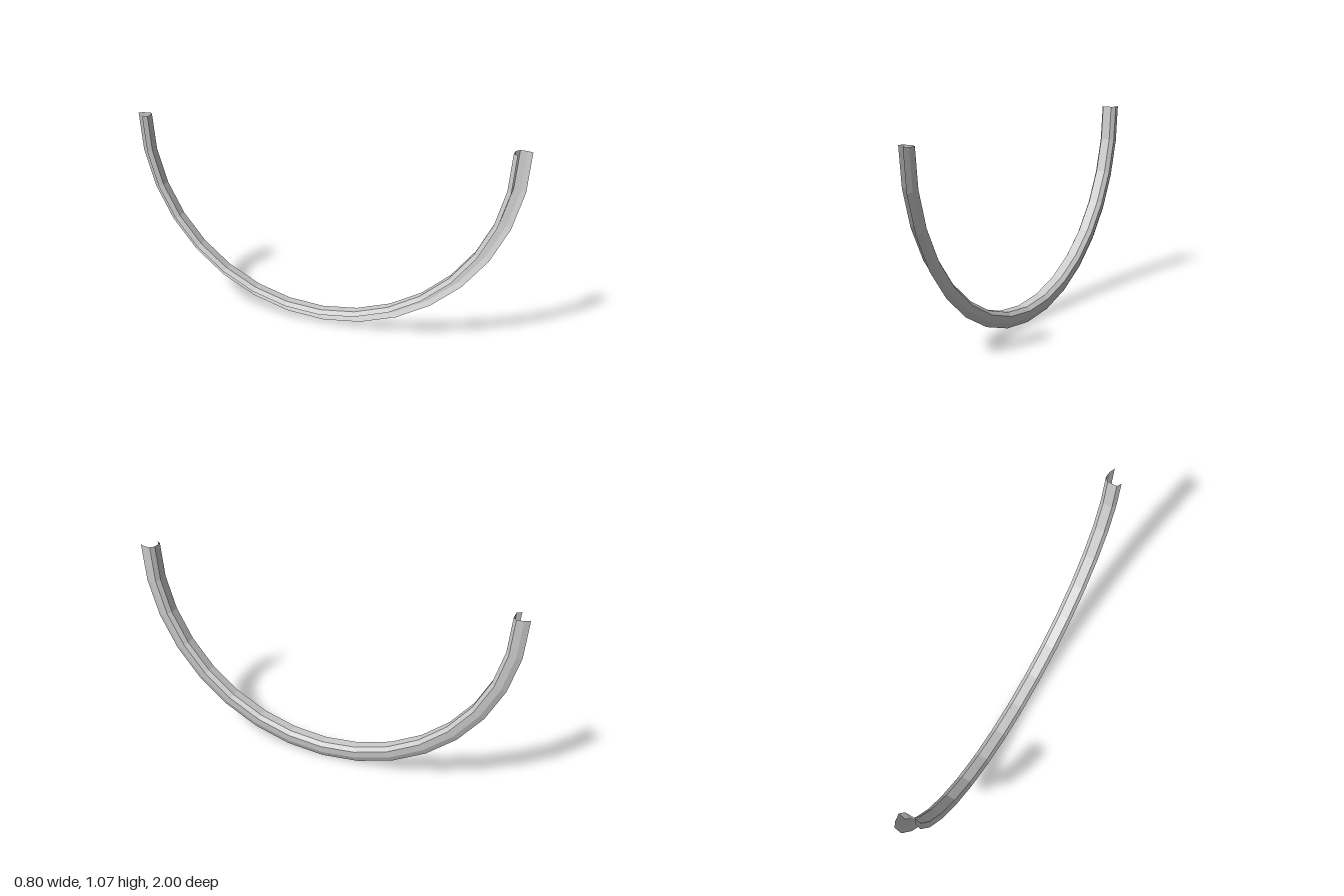
import * as THREE from 'three';

export function createModel() {
  const group = new THREE.Group();
  group.name = 'halfRingChannel';

  // Open channel section as (radius, sideways offset): tall wall, floor, short lip
  const section = [
    [1.068, 0.021], [1.04, 0.034], [1.003, 0.038],
    [0.984, 0.017], [0.984, -0.035], [1.007, -0.05],
  ].map(([r, w]) => new THREE.Vector2(r, w));

  // Half turn of the section, hanging down and turned about the vertical
  const geometry = new THREE.LatheGeometry(section, 16, -Math.PI / 2, Math.PI);
  geometry.rotateX(Math.PI / 2);
  geometry.rotateY(THREE.MathUtils.degToRad(110.55));
  geometry.translate(0, 1.068, 0.007);

  const channel = new THREE.Mesh(geometry, new THREE.MeshStandardMaterial({
    color: 0xcccccc, flatShading: true, side: THREE.DoubleSide,
  }));
  channel.name = 'curvedChannel';
  group.add(channel);
  return group;
}
